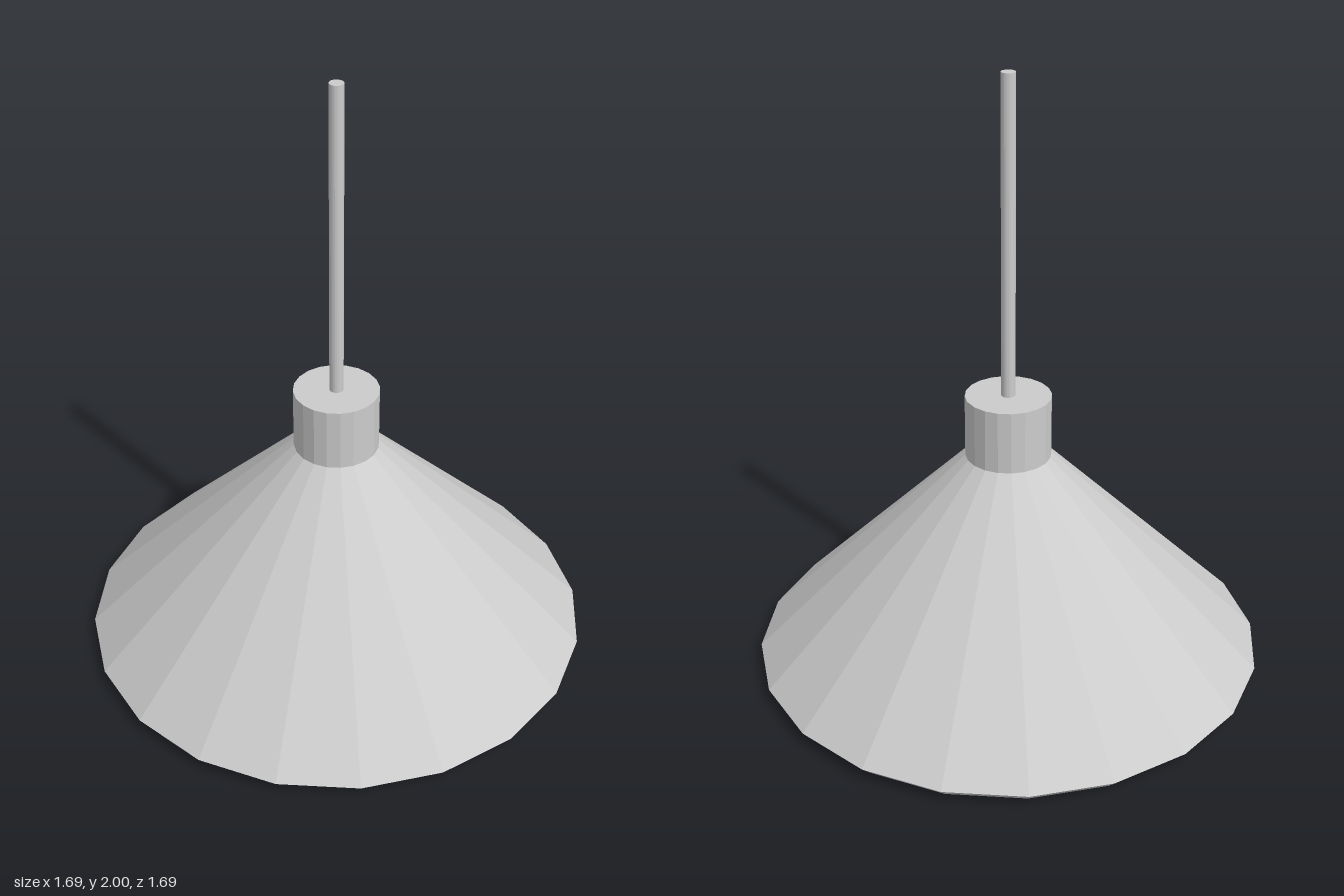
import * as THREE from 'three';

const SIDES = 20;

export function createModel() {
  const group = new THREE.Group();
  group.name = 'pendantLamp';
  const material = new THREE.MeshStandardMaterial({
    color: 0xcccccc, flatShading: true, side: THREE.DoubleSide,
  });

  const add = (name, geometry) => {
    const mesh = new THREE.Mesh(geometry, material);
    mesh.name = name;
    group.add(mesh);
  };

  // Upright cylinder given by its bottom and top heights
  const post = (radius, bottom, top) =>
    new THREE.CylinderGeometry(radius, radius, top - bottom, SIDES)
      .translate(0, (bottom + top) / 2, 0);

  // Conical shade: a thin open sheet with its lower rim turned inward
  const profile = [[0.803, 0], [0.843, 0.04], [0.14, 0.745]]
    .map(([r, y]) => new THREE.Vector2(r, y));
  add('shade', new THREE.LatheGeometry(profile, SIDES));

  // Socket passes through the top of the shade and shows inside it
  add('socket', post(0.14, 0.525, 0.955));

  // Hanging rod
  add('rod', post(0.023, 0.95, 2));

  return group;
}
